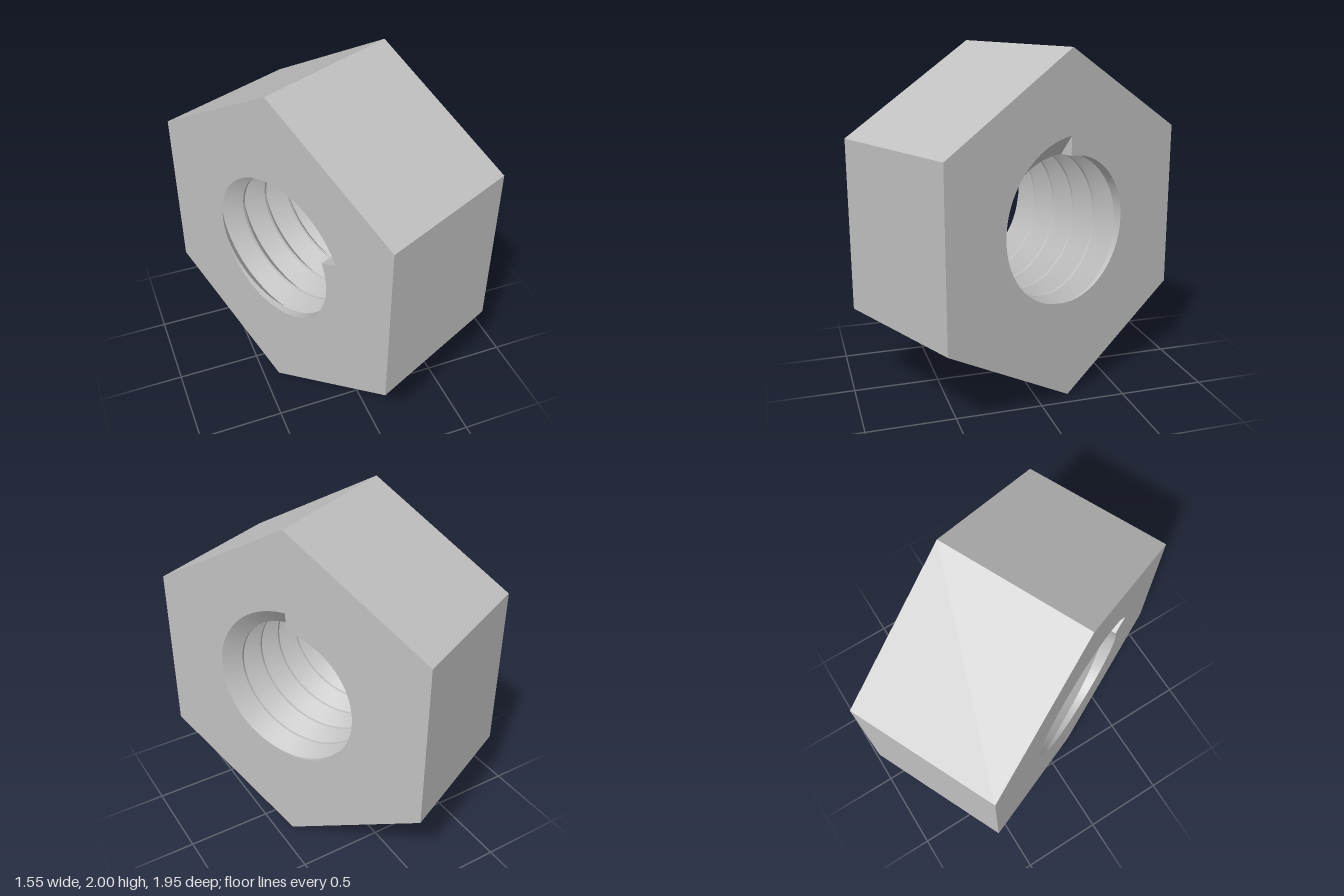
import * as THREE from 'three';

const HEIGHT = 0.9;            // thickness along the bore
const MINOR = 0.42, MAJOR = 0.53;
const STEPS = 96;              // segments per thread turn
const TOTAL = 498;             // segments of the whole groove (about 5.19 turns)
const PITCH = HEIGHT * STEPS / TOTAL;
const HALF = 0.08;             // half width of the V groove

const clamp = (s) => Math.min(HEIGHT, Math.max(0, s));
const centre = (i) => HEIGHT * i / TOTAL;
const grooveRadius = (d) => Math.max(MINOR, MAJOR - (MAJOR - MINOR) * Math.abs(d) / HALF);

// Point in the bore: step i around the axis, depth s from the first face
function borePoint(i, s, r) {
  const t = 2 * Math.PI * i / STEPS;
  return [-r * Math.sin(t), r * Math.cos(t), HEIGHT / 2 - s];
}

// Smooth helical ribbon; edge(i) gives its two [depth, radius] corners
function ribbon(from, to, edge) {
  const pos = [], idx = [];
  for (let i = from; i <= to; i++) {
    const [a, b] = edge(i);
    pos.push(...borePoint(i, ...a), ...borePoint(i, ...b));
    if (i < to) {
      const k = 2 * (i - from);
      idx.push(k, k + 2, k + 1, k + 1, k + 2, k + 3);
    }
  }
  const g = new THREE.BufferGeometry();
  g.setAttribute('position', new THREE.Float32BufferAttribute(pos, 3));
  g.setIndex(idx);
  g.computeVertexNormals();
  return g;
}

// Triangle closing one end of the groove
function grooveEnd(i, corners) {
  const g = new THREE.BufferGeometry();
  const pos = corners.flatMap(([s, r]) => borePoint(i, s, r));
  g.setAttribute('position', new THREE.Float32BufferAttribute(pos, 3));
  g.computeVertexNormals();
  return g;
}

// Hexagonal face whose hole follows the run-out of the groove
function endFace(start, dir) {
  const hex = [], hole = [];
  for (let k = 0; k < 6; k++) {
    const t = k * Math.PI / 3;
    hex.push(new THREE.Vector2(-Math.sin(t), Math.cos(t)));
  }
  const add = (i, r) => {
    const [x, y] = borePoint(i, 0, r);
    hole.push(new THREE.Vector2(x, y));
  };
  for (let n = 0; n < STEPS; n++) add(start + dir * n, grooveRadius(centre(n)));
  add(start, MINOR);
  const shape = new THREE.Shape(hex);
  shape.holes.push(new THREE.Path(hole));
  return new THREE.ShapeGeometry(shape);
}

export function createModel() {
  const steel = new THREE.MeshStandardMaterial({ color: 0xc0c0c0, side: THREE.DoubleSide });
  steel.name = 'steel';

  const nut = new THREE.Group();
  nut.name = 'hexNut';
  const add = (name, geometry, parent = nut) => {
    const mesh = new THREE.Mesh(geometry, steel);
    mesh.name = name;
    parent.add(mesh);
    return mesh;
  };

  // Six flat sides
  const sides = new THREE.CylinderGeometry(1, 1, HEIGHT, 6, 1, true).rotateX(Math.PI / 2).toNonIndexed();
  sides.computeVertexNormals();
  add('hexSides', sides);

  // End faces
  add('firstFace', endFace(0, 1)).position.z = HEIGHT / 2;
  const back = endFace(TOTAL, -1);
  back.index.array.reverse();
  back.computeVertexNormals();
  add('secondFace', back).position.z = -HEIGHT / 2;

  // Internal thread: two flanks, the crest between turns, and the groove ends
  const thread = new THREE.Group();
  thread.name = 'thread';
  nut.add(thread);
  const flankEdge = (i, side) => {
    const s = clamp(centre(i) + side * HALF);
    return [s, grooveRadius(s - centre(i))];
  };
  add('nearFlank', ribbon(0, TOTAL, (i) => [flankEdge(i, -1), [centre(i), MAJOR]]), thread);
  add('farFlank', ribbon(0, TOTAL, (i) => [[centre(i), MAJOR], flankEdge(i, 1)]), thread);

  const crest = (from, to, hasBefore, hasAfter) => ribbon(from, to, (i) => [
    [hasBefore ? clamp(centre(i) + HALF) : 0, MINOR],
    [hasAfter ? clamp(centre(i) + PITCH - HALF) : HEIGHT, MINOR],
  ]);
  add('crestStart', crest(-STEPS, 0, false, true), thread);
  add('crest', crest(0, TOTAL - STEPS, true, true), thread);
  add('crestEnd', crest(TOTAL - STEPS, TOTAL, true, false), thread);

  add('grooveStart', grooveEnd(0, [[0, MINOR], [0, MAJOR], [HALF, MINOR]]), thread);
  add('grooveStop', grooveEnd(TOTAL, [[HEIGHT, MINOR], [HEIGHT, MAJOR], [HEIGHT - HALF, MINOR]]), thread);

  // Stand on a corner, bore turned away from the front
  nut.rotation.y = THREE.MathUtils.degToRad(114.9);
  nut.position.y = 1;
  const model = new THREE.Group();
  model.name = 'model';
  model.add(nut);
  return model;
}
